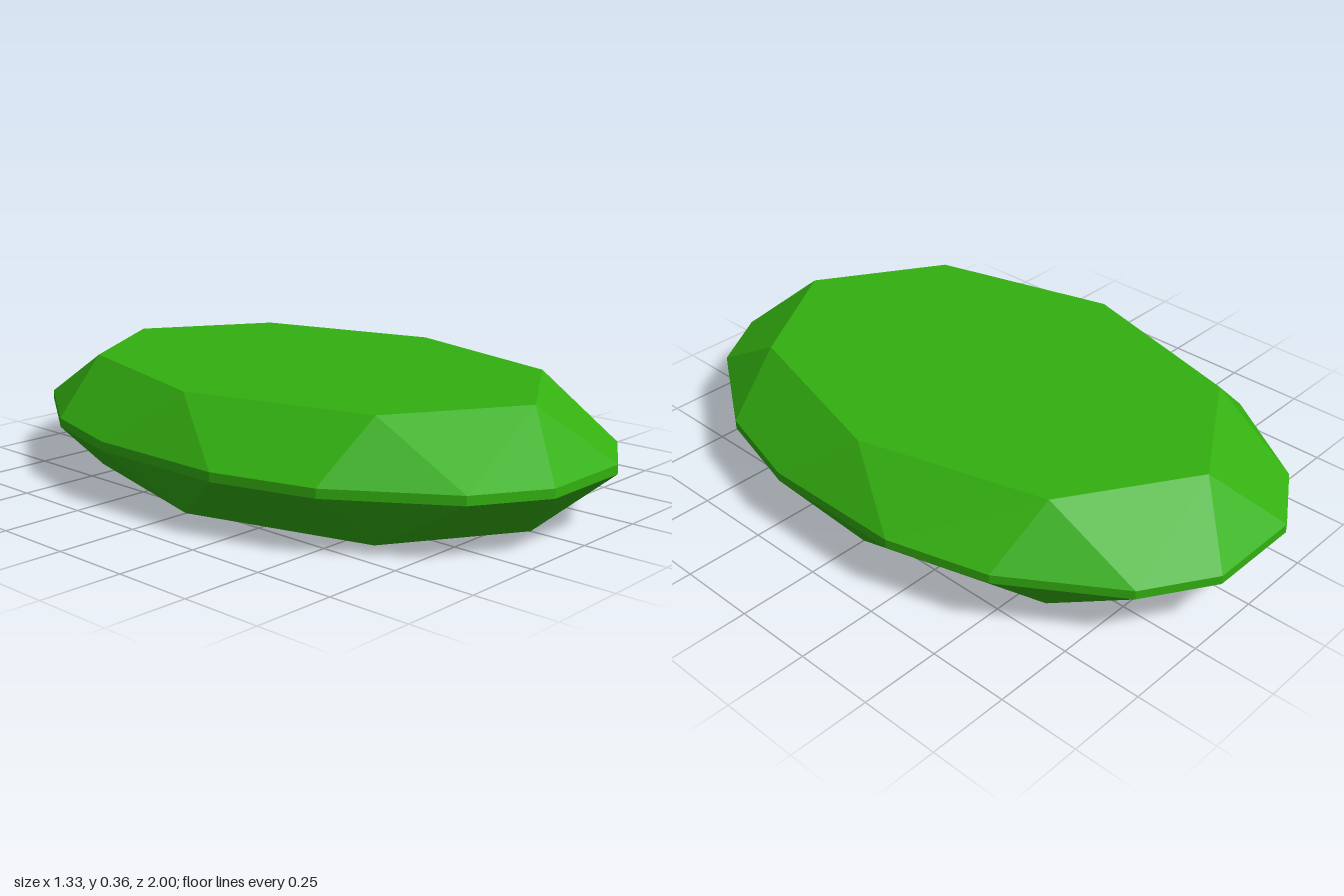
import * as THREE from 'three';

const TOP = 0.364, GIRDLE_TOP = 0.196, GIRDLE_BOTTOM = 0.168;

// Point on an ellipse at height y; 0 degrees is the front, 90 is +x
function point(a, b, degrees, y) {
  const t = THREE.MathUtils.degToRad(degrees);
  return [a * Math.sin(t), y, b * Math.cos(t)];
}

// Eight corners of the flat table or base
const octagon = (y) => Array.from({ length: 8 }, (_, k) => point(0.55, 0.825, 45 * k, y));

// Sixteen girdle corners, a pair around each octagon corner
const girdleRing = (y) => Array.from({ length: 16 }, (_, i) =>
  point(0.6845, 1.026, 45 * Math.floor(i / 2) + (i % 2 ? 13 : -13), y));

// Flat mesh from convex polygons, each fanned into triangles
function facetMesh(name, polygons, material, flip = false) {
  const positions = [];
  for (const poly of polygons) {
    const p = flip ? [...poly].reverse() : poly;
    for (let i = 1; i < p.length - 1; i++) positions.push(...p[0], ...p[i], ...p[i + 1]);
  }
  const geometry = new THREE.BufferGeometry();
  geometry.setAttribute('position', new THREE.Float32BufferAttribute(positions, 3));
  geometry.computeVertexNormals();
  const mesh = new THREE.Mesh(geometry, material);
  mesh.name = name;
  return mesh;
}

// Alternating triangles and four-sided facets from the girdle to an octagon
function bevelFacets(ring, oct) {
  const facets = [];
  for (let k = 0; k < 8; k++) {
    const a = ring[2 * k], b = ring[2 * k + 1], c = ring[(2 * k + 2) % 16];
    facets.push([a, b, oct[k]], [b, c, oct[(k + 1) % 8], oct[k]]);
  }
  return facets;
}

export function createModel() {
  const green = new THREE.MeshStandardMaterial({ color: 0x33b010, flatShading: true });
  green.name = 'gem green';

  const table = octagon(TOP), base = octagon(0);
  const upper = girdleRing(GIRDLE_TOP), lower = girdleRing(GIRDLE_BOTTOM);
  const band = lower.map((p, i) => {
    const j = (i + 1) % 16;
    return [p, lower[j], upper[j], upper[i]];
  });

  const gem = new THREE.Group();
  gem.name = 'gem';
  gem.add(
    facetMesh('table', [table], green),
    facetMesh('crown', bevelFacets(upper, table), green),
    facetMesh('girdle', band, green),
    facetMesh('pavilion', bevelFacets(lower, base), green, true),
    facetMesh('base', [base], green, true),
  );
  return gem;
}
